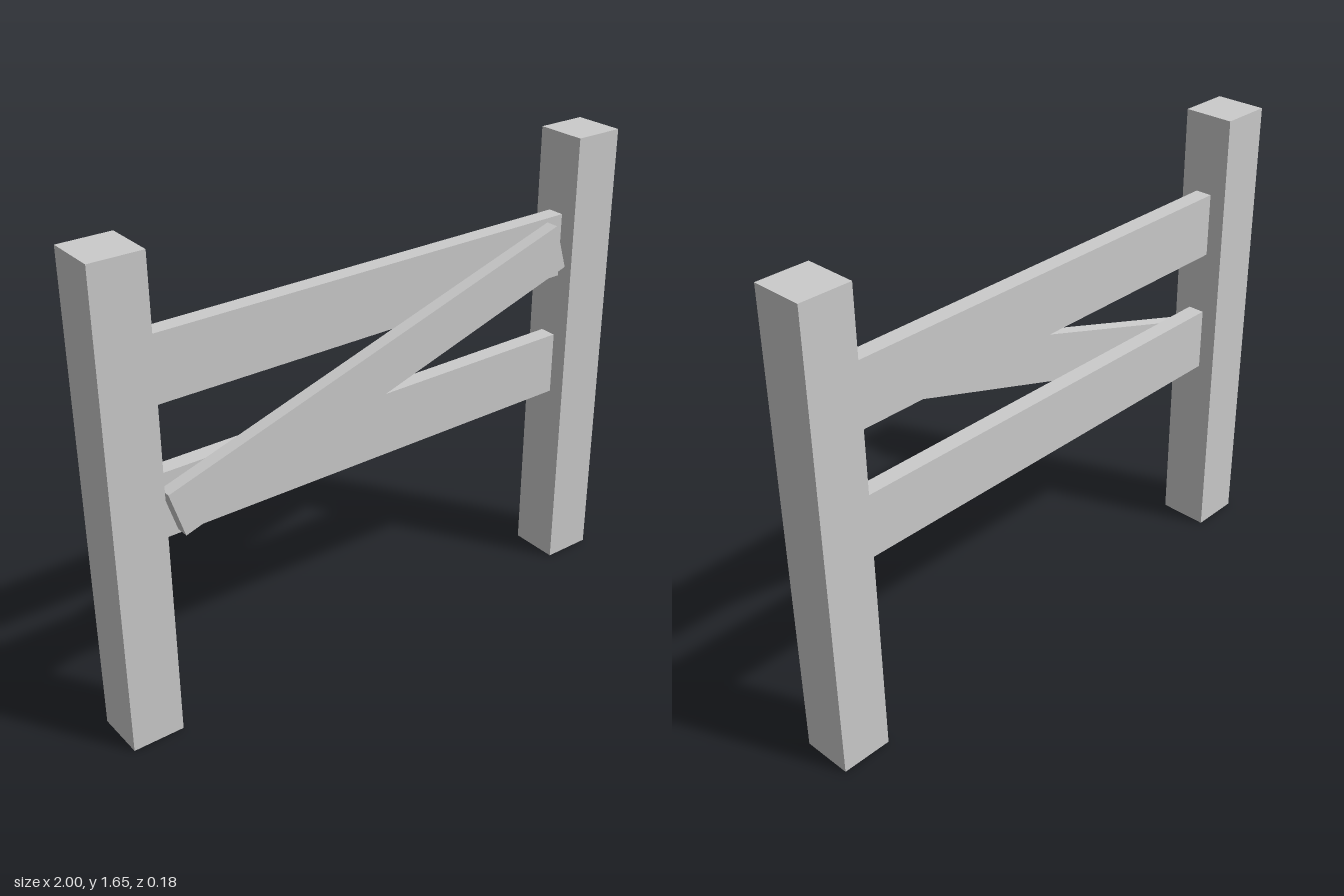
import * as THREE from 'three';

export function createModel() {
  const group = new THREE.Group();
  const material = new THREE.MeshStandardMaterial({ color: 0xcccccc, flatShading: true });

  const addBeam = (name, size, position, tilt = 0) => {
    const mesh = new THREE.Mesh(new THREE.BoxGeometry(...size), material);
    mesh.name = name;
    mesh.position.set(...position);
    mesh.rotation.z = tilt;
    group.add(mesh);
  };

  // Square posts at both ends
  const postWidth = 0.18, postHeight = 1.65;
  for (const [name, side] of [['leftPost', 1], ['rightPost', -1]]) {
    addBeam(name, [postWidth, postHeight, postWidth], [side * (1 - postWidth / 2), postHeight / 2, 0]);
  }

  // Horizontal rails between the posts
  for (const [name, y] of [['lowerRail', 0.803], ['upperRail', 1.257]]) {
    addBeam(name, [1.64, 0.226, 0.06], [0, y, 0]);
  }

  // Diagonal brace fixed to the front of the rails
  addBeam('diagonalBrace', [1.63, 0.168, 0.048], [0, 1.03, 0.053], Math.atan2(0.49, 1.555));

  return group;
}
